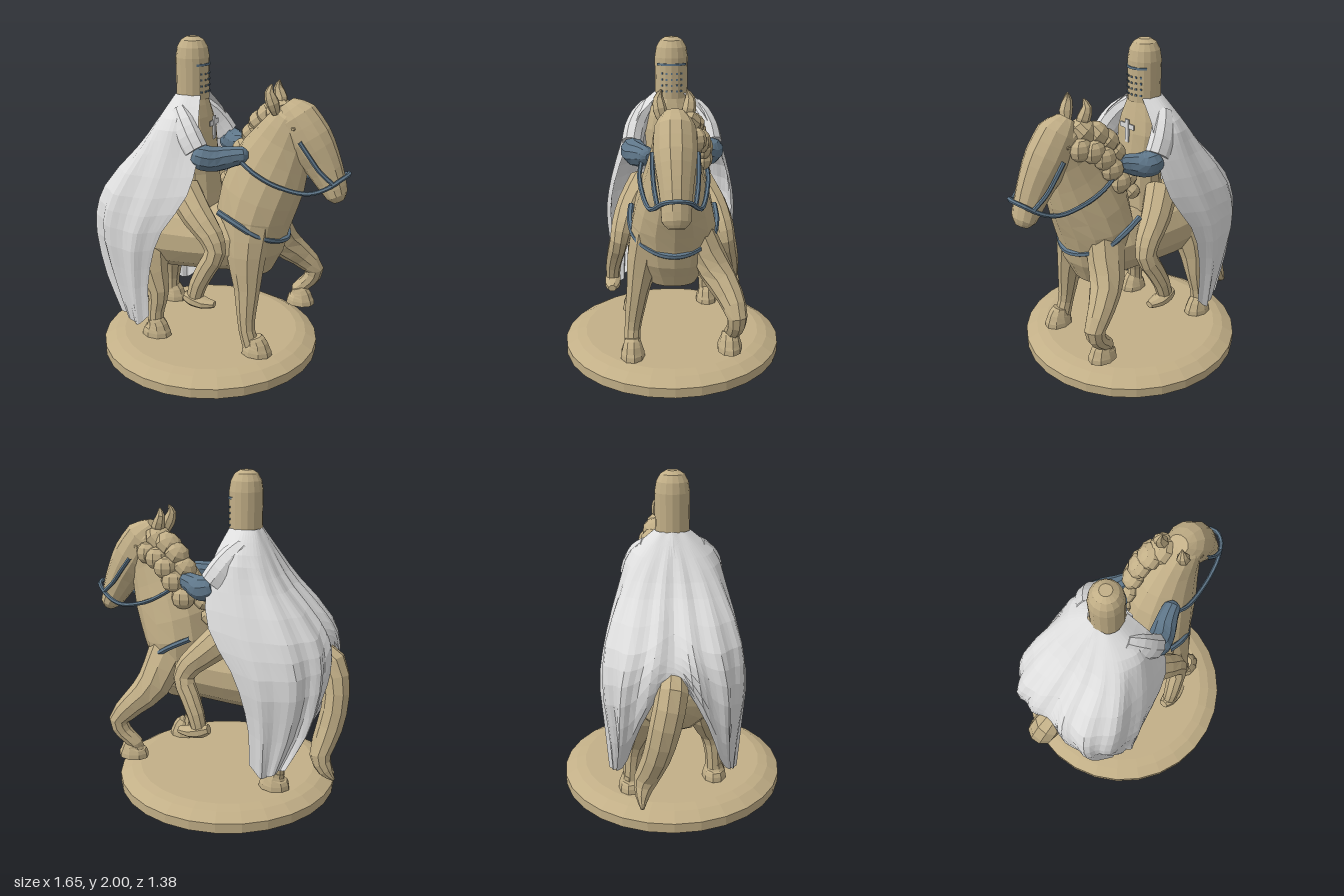
import * as THREE from 'three';

const V = (x, y, z) => new THREE.Vector3(x, y, z);

function makeMaterial(name, color, side = THREE.FrontSide) {
  const m = new THREE.MeshStandardMaterial({ color, flatShading: true, side });
  m.name = name;
  return m;
}

// Loft through sections [x, y, z, sideRadius, depthRadius] with closed ends
function loft(sections, sides = 10, steps = 2) {
  const path = new THREE.CatmullRomCurve3(sections.map(s => V(s[0], s[1], s[2])));
  const radii = new THREE.CatmullRomCurve3(sections.map(s => V(s[3], s[4], 0)));
  const n = (sections.length - 1) * steps;
  const pos = [], index = [];
  for (let i = 0; i <= n; i++) {
    const c = path.getPoint(i / n), r = radii.getPoint(i / n), t = path.getTangent(i / n);
    const side = V(0, 0, 1).addScaledVector(t, -t.z).normalize();
    const up = t.clone().cross(side);
    for (let j = 0; j < sides; j++) {
      const a = (j + 0.5) / sides * Math.PI * 2;
      const p = c.clone().addScaledVector(side, r.x * Math.cos(a)).addScaledVector(up, r.y * Math.sin(a));
      pos.push(p.x, p.y, p.z);
    }
  }
  const first = sections[0], last = sections[sections.length - 1], c0 = (n + 1) * sides;
  pos.push(...first.slice(0, 3), ...last.slice(0, 3));
  for (let j = 0; j < sides; j++) {
    const k = (j + 1) % sides;
    for (let i = 0; i < n; i++) {
      const a = i * sides + j, b = i * sides + k;
      index.push(a, b, a + sides, b, b + sides, a + sides);
    }
    index.push(c0, k, j, c0 + 1, n * sides + j, n * sides + k);
  }
  const g = new THREE.BufferGeometry();
  g.setAttribute('position', new THREE.Float32BufferAttribute(pos, 3));
  g.setIndex(index);
  g.computeVertexNormals();
  return g;
}

// Cloak: columns of points from front edge to middle of the back, mirrored in z
function cloakGeometry() {
  const half = [
    [[-.08, 1.67, .07], [-.04, 1.54, .2], [-.01, 1.38, .27], [-.05, 1.14, .35], [-.22, .87, .39], [-.3, .58, .38], [-.31, .33, .37]],
    [[-.18, 1.67, .1], [-.19, 1.53, .25], [-.22, 1.38, .3], [-.3, 1.1, .38], [-.38, .85, .42], [-.4, .55, .4], [-.39, .26, .38]],
    [[-.24, 1.67, .07], [-.31, 1.52, .18], [-.38, 1.38, .25], [-.55, 1.1, .35], [-.61, .87, .36], [-.56, .55, .34], [-.47, .29, .34]],
    [[-.25, 1.67, .03], [-.34, 1.52, .09], [-.43, 1.38, .13], [-.66, 1.11, .18], [-.71, .92, .23], [-.66, .6, .27], [-.53, .33, .31]],
    [[-.26, 1.67, 0], [-.35, 1.52, 0], [-.44, 1.38, 0], [-.6, 1.19, 0], [-.68, 1.08, 0], [-.71, 1.02, 0], [-.72, .97, 0]],
  ];
  const mirrored = half.slice(0, 4).reverse().map(c => c.map(p => [p[0], p[1], -p[2]]));
  const columns = [...half, ...mirrored].map(c => new THREE.CatmullRomCurve3(c.map(p => V(...p))));
  const nu = 48, nv = 14, pos = [], index = [];
  for (let i = 0; i <= nv; i++) {
    const v = i / nv;
    const row = new THREE.CatmullRomCurve3(columns.map(c => c.getPoint(v)));
    for (let j = 0; j <= nu; j++) {
      const p = row.getPoint(j / nu);
      // folds grow towards the hem and fade at the front edges
      const fold = 0.018 * Math.min(1, v * 1.6) * Math.sin(j / nu * Math.PI) * Math.cos(j / nu * Math.PI * 18);
      const out = V(p.x + 0.3, 0, p.z).normalize();
      p.addScaledVector(out, fold);
      pos.push(p.x, p.y, p.z);
      if (i < nv && j < nu) {
        const a = i * (nu + 1) + j, b = a + nu + 1;
        index.push(a, a + 1, b, a + 1, b + 1, b);
      }
    }
  }
  const g = new THREE.BufferGeometry();
  g.setAttribute('position', new THREE.Float32BufferAttribute(pos, 3));
  g.setIndex(index);
  g.computeVertexNormals();
  return g;
}

export function createModel() {
  const model = new THREE.Group();
  const tan = makeMaterial('tan', 0xc2af87);
  const white = makeMaterial('cloakWhite', 0xdedede, THREE.DoubleSide);
  const blue = makeMaterial('steelBlue', 0x5f778a);

  const add = (name, geometry, material = tan, parent = model) => {
    const m = new THREE.Mesh(geometry, material);
    m.name = name;
    parent.add(m);
    return m;
  };
  const mirrorZ = s => s.map(p => [p[0], p[1], -p[2], ...p.slice(3)]);
  const tube = (name, pts, r = 0.013) =>
    add(name, new THREE.TubeGeometry(new THREE.CatmullRomCurve3(pts.map(p => V(...p))), pts.length * 4, r, 6), blue);

  // Round stand
  const profile = [[0, 0], [.64, 0], [.69, .03], [.69, .09], [.62, .13], [.56, .145], [0, .145]];
  add('base', new THREE.LatheGeometry(profile.map(p => new THREE.Vector2(...p)), 28)).position.x = -0.05;

  // Horse body, neck and head
  add('horseBody', loft([[-.69, .83, 0, .07, .08], [-.62, .82, 0, .19, .18], [-.4, .79, 0, .25, .24], [-.1, .79, 0, .25, .225],
    [.15, .81, 0, .25, .22], [.3, .81, 0, .22, .2], [.37, .8, 0, .13, .14]], 14));
  add('horseNeck', loft([[.26, .6, 0, .13, .1], [.25, .74, 0, .21, .18], [.25, .98, 0, .25, .235], [.32, 1.22, 0, .19, .24],
    [.41, 1.43, 0, .13, .18], [.47, 1.57, 0, .11, .12], [.5, 1.64, 0, .05, .05]], 14));
  add('horseHead', loft([[.42, 1.65, 0, .06, .05], [.48, 1.575, 0, .115, .125], [.56, 1.45, 0, .12, .14], [.64, 1.33, 0, .1, .115],
    [.7, 1.22, 0, .085, .09], [.74, 1.14, 0, .08, .065], [.755, 1.105, 0, .045, .035]], 12));
  for (const s of [1, -1]) {
    add('horseEar', loft([[.38, 1.6, s * .06, .03, .025], [.365, 1.66, s * .08, .04, .04], [.345, 1.72, s * .085, .028, .028], [.355, 1.765, s * .07, .005, .006]], 7));
    const eye = add('horseEye', new THREE.IcosahedronGeometry(.016, 0));
    eye.position.set(.5, 1.53, s * .113);
    eye.scale.set(1, .7, .5);
  }

  // Mane locks falling on the right side of the neck
  const maneLine = new THREE.CatmullRomCurve3([V(.36, 1.58, -.07), V(.26, 1.54, -.11), V(.18, 1.43, -.12), V(.09, 1.28, -.11), V(.03, 1.13, -.1)]);
  for (let i = 0; i < 7; i++) {
    const p = maneLine.getPoint(i / 6), size = 1 - i * .06;
    const lock = add('maneLock', new THREE.SphereGeometry(.085, 8, 6));
    lock.position.copy(p);
    lock.scale.set(size * 1.1, size * .85, size);
    lock.rotation.set(-.5, 0, .6);
    if (i < 5) {
      const low = add('maneLock', new THREE.SphereGeometry(.075, 8, 6));
      low.position.set(p.x + .06, p.y - .08, p.z - .05);
      low.scale.set(1, .9, .75);
    }
  }
  add('tail', loft([[-.6, .97, 0, .06, .06], [-.7, .9, -.01, .09, .09], [-.75, .72, -.05, .09, .08], [-.725, .52, -.1, .08, .08],
    [-.69, .36, -.16, .07, .065], [-.73, .27, -.18, .04, .045], [-.78, .22, -.18, .01, .01]], 9));

  // Horse legs and hooves
  const hoof = (x, y, z) => add('hoof', loft([[x - .015, y + .11, z, .046, .046], [x, y + .07, z, .06, .07], [x, y + .03, z, .072, .092], [x, y, z, .074, .096]], 9));
  for (const [s, dx] of [[1, 0], [-1, -.12]]) {
    add('hindLeg', loft([[-.44, .86, s * .13, .12, .17], [-.4 + dx * .5, .65, s * .18, .11, .14], [-.31 + dx, .44, s * .23, .065, .07],
      [-.32 + dx, .32, s * .245, .05, .052], [-.325 + dx, .22, s * .25, .05, .05]], 9));
    hoof(-.315 + dx, .15, s * .255);
  }
  add('plantedFrontLeg', loft([[.25, .95, .15, .1, .15], [.255, .75, .18, .1, .12], [.275, .55, .215, .07, .08], [.28, .42, .235, .06, .062],
    [.29, .3, .25, .05, .05], [.32, .2, .25, .05, .055]], 9));
  hoof(.355, .15, .25);
  add('raisedFrontLeg', loft([[.28, .9, -.15, .1, .13], [.35, .71, -.24, .1, .11], [.46, .59, -.32, .08, .08], [.54, .49, -.355, .06, .062],
    [.51, .41, -.35, .05, .052], [.44, .34, -.335, .046, .046], [.435, .3, -.33, .046, .046]], 9));
  hoof(.46, .245, -.325);

  // Rider torso, legs and arms
  add('riderTorso', loft([[-.12, .96, 0, .18, .15], [-.12, 1.2, 0, .15, .12], [-.135, 1.45, 0, .17, .108], [-.15, 1.6, 0, .12, .09], [-.16, 1.68, 0, .08, .08]], 12));
  const leg = [[-.15, 1.1, .17, .1, .11], [-.03, .99, .25, .09, .095], [.08, .89, .3, .075, .075], [.115, .81, .325, .06, .065], [.07, .71, .35, .055, .06], [.025, .61, .37, .048, .055], [0, .51, .375, .042, .048]];
  const foot = [[-.06, .525, .375, .03, .03], [-.01, .51, .375, .05, .045], [.06, .495, .375, .05, .036], [.13, .495, .375, .025, .02]];
  const sleeve = [[-.19, 1.58, .14, .05, .06], [-.14, 1.52, .19, .062, .08], [-.09, 1.45, .225, .066, .085], [-.04, 1.38, .24, .066, .08]];
  for (const flip of [p => p, mirrorZ]) {
    add('riderLeg', loft(flip(leg), 9));
    add('riderFoot', loft(flip(foot), 8));
    add('sleeve', loft(flip(sleeve), 9), white);
  }
  for (const [s, k] of [[1, 1], [-1, .8]]) {
    const f = (x, y, z, r) => [-.05 + x * k, y, s * z, r, r];
    add('forearm', loft([f(0, 1.36, .24, .055), f(.05, 1.345, .235, .078), f(.12, 1.335, .21, .075), f(.21, 1.35, .17, .06), f(.27, 1.36, .15, .05), f(.295, 1.36, .14, .02)], 10), blue);
  }

  // Plain cross on the chest
  add('chestCrossUpright', new THREE.BoxGeometry(.009, .14, .03), white).position.set(-.024, 1.47, 0);
  add('chestCrossBar', new THREE.BoxGeometry(.009, .03, .12), white).position.set(-.026, 1.5, 0);

  // Helmet with sight slit and breathing holes
  const helmet = new THREE.Group();
  helmet.name = 'helmet';
  helmet.position.x = -.16;
  model.add(helmet);
  const helm = [[0, 1.64], [.098, 1.64], [.1, 1.88], [.09, 1.94], [.068, 1.98], [.035, 2], [0, 2]];
  add('helmetShell', new THREE.LatheGeometry(helm.map(p => new THREE.Vector2(...p)), 16), tan, helmet);
  const slit = add('sightSlit', new THREE.CylinderGeometry(.105, .105, .013, 16, 1, false, Math.PI / 2 - .95, 1.9), blue, helmet);
  slit.position.y = 1.843;
  for (let row = 0; row < 4; row++) {
    for (let col = -2; col <= 2; col++) {
      const a = col * .31, hole = add('breathingHole', new THREE.BoxGeometry(.009, .011, .011), blue, helmet);
      hole.position.set(Math.cos(a) * .099, 1.685 + row * .035, Math.sin(a) * .099);
      hole.rotation.y = -a;
    }
  }

  add('cloak', cloakGeometry(), white);

  // Harness
  const across = pts => [...pts, ...pts.slice(0, -1).reverse().map(p => [p[0], p[1], -p[2]])];
  tube('reins', across([[.2, 1.34, .18], [.3, 1.27, .195], [.43, 1.205, .18], [.6, 1.17, .145], [.7, 1.2, .115], [.78, 1.255, .065], [.805, 1.27, 0]]));
  tube('breastStrap', across([[.1, 1.03, .25], [.22, .97, .255], [.33, .9, .22], [.42, .845, .11], [.45, .83, 0]]), .018);
  for (const s of [1, -1]) {
    tube('cheekStrap', [[.54, 1.46, s * .122], [.6, 1.38, s * .122], [.66, 1.3, s * .115], [.735, 1.23, s * .1]]);
  }
  return model;
}
